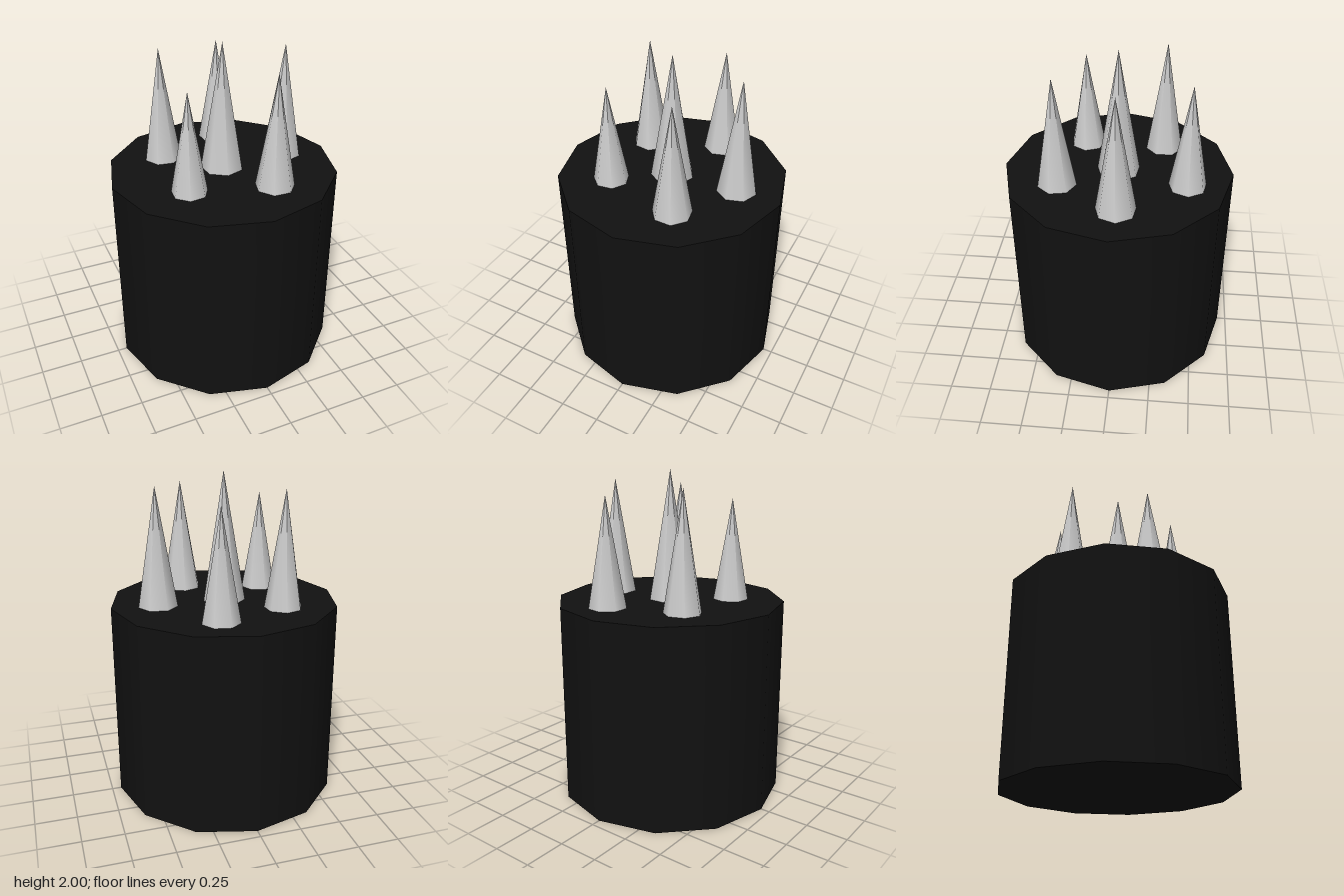
import * as THREE from 'three';

export function createModel() {
  const model = new THREE.Group();
  const bodyHeight = 1.22;
  const bodyRadius = 0.695;

  // Dark twelve-sided drum
  const body = new THREE.Mesh(
    new THREE.CylinderGeometry(bodyRadius, bodyRadius, bodyHeight, 12),
    new THREE.MeshStandardMaterial({ color: 0x111111 })
  );
  body.name = 'body';
  body.position.y = bodyHeight / 2;
  model.add(body);

  // Seven-sided spikes on the top: x, z, tip height, radius, turn
  const spikeMaterial = new THREE.MeshStandardMaterial({ color: 0xcccccc });
  const spikes = new THREE.Group();
  spikes.name = 'spikes';
  const layout = [
    [0, 0, 2.0, 0.131, 0.76],
    [0.415, -0.02, 1.93, 0.12, 0.75],
    [0.18, 0.35, 1.9, 0.118, 0.41],
    [-0.3, 0.22, 1.83, 0.108, 0.58],
    [-0.29, -0.265, 1.92, 0.114, 0.29],
    [0.14, -0.42, 1.87, 0.114, 0.72],
  ];
  layout.forEach(([x, z, tip, radius, turn], i) => {
    const height = tip - bodyHeight;
    const spike = new THREE.Mesh(new THREE.ConeGeometry(radius, height, 7), spikeMaterial);
    spike.name = i === 0 ? 'centreSpike' : `outerSpike${i}`;
    spike.position.set(x, bodyHeight + height / 2, z);
    spike.rotation.y = turn;
    spikes.add(spike);
  });
  model.add(spikes);

  return model;
}
